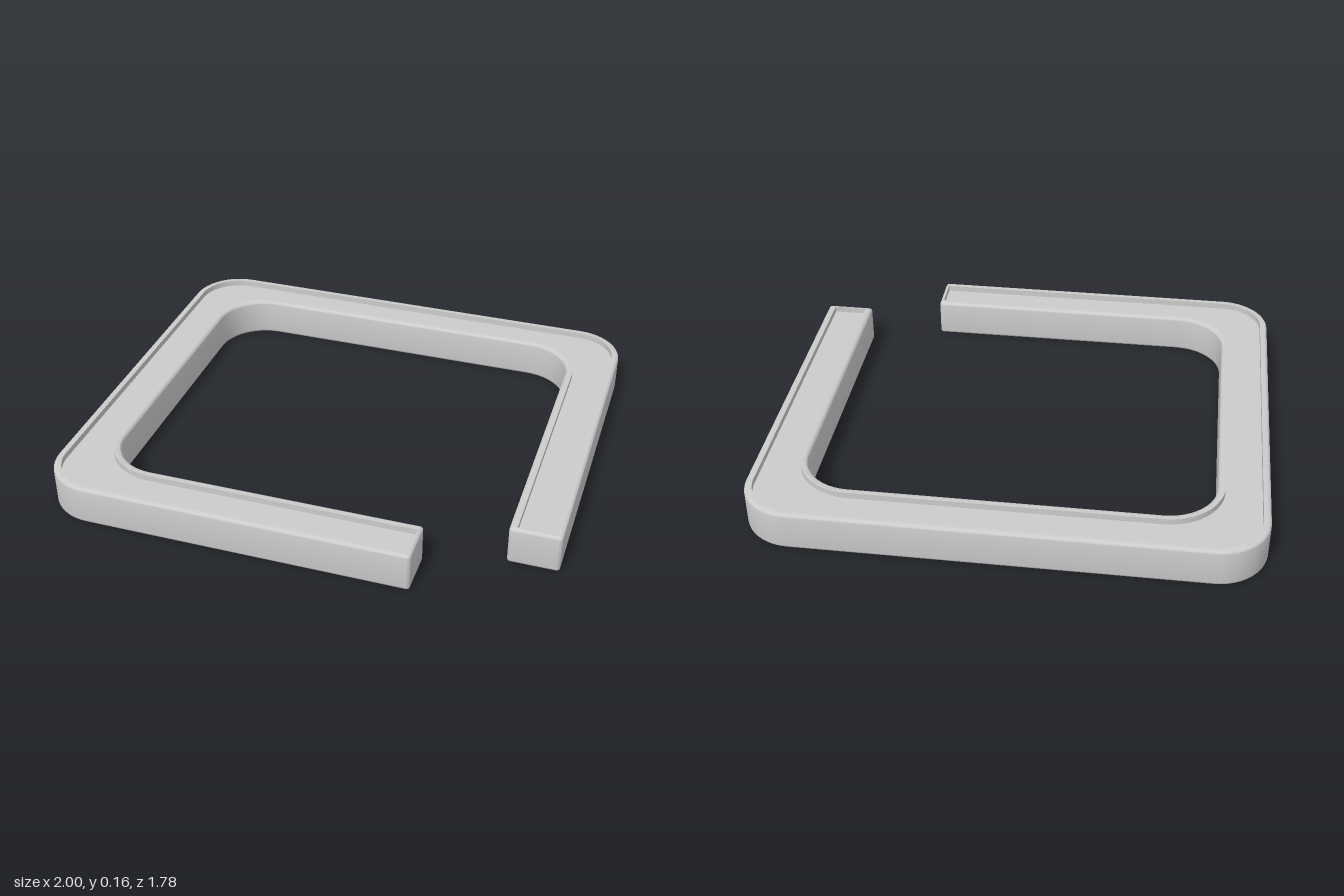
import * as THREE from 'three';
import { toCreasedNormals } from 'three/addons/utils/BufferGeometryUtils.js';

const HEIGHT = 0.16, BEVEL = 0.013, RIM = 0.03, DEPTH = 0.025, STEPS = 12;

// Plan outline of the open frame, shrunk inward by o (the arm ends shrink less beyond the bevel).
function outline(o) {
  const e = Math.min(o, BEVEL) + Math.max(o - BEVEL, 0) * 0.15;
  const tip = Math.max(BEVEL - o, 0.002), outer = 0.2 - o, inner = 0.2 + o;
  const corners = [
    [1 - o, -0.62 + e, tip], [1 - o, 0.89 - o, outer], [-1 + o, 0.89 - o, outer],
    [-1 + o, -0.89 + o, outer], [0.5 - e, -0.89 + o, tip], [0.5 - e, -0.7 - o, tip],
    [-0.8 - o, -0.7 - o, inner], [-0.8 - o, 0.7 + o, inner], [0.8 + o, 0.7 + o, inner],
    [0.8 + o, -0.62 + e, tip],
  ].map(([x, y, r]) => ({ p: new THREE.Vector2(x, y), r }));
  const points = [];
  corners.forEach(({ p, r }, i) => {
    const n = corners.length;
    const din = p.clone().sub(corners[(i + n - 1) % n].p).normalize();
    const dout = corners[(i + 1) % n].p.clone().sub(p).normalize();
    const centre = p.clone().addScaledVector(din, -r).addScaledVector(dout, r);
    for (let k = 0; k <= STEPS; k++) {
      const t = (k / STEPS) * Math.PI / 2;
      points.push(centre.clone().addScaledVector(dout, -r * Math.cos(t)).addScaledVector(din, r * Math.sin(t)));
    }
  });
  return points;
}

function frameGeometry() {
  // Section from the underside, round the outer edges, over the rim and down into the channel
  const profile = [];
  const arc = (y, from) => {
    for (let k = 0; k <= 4; k++) {
      const t = from + (k / 4) * Math.PI / 2;
      profile.push([BEVEL * (1 - Math.cos(t)), y + BEVEL * Math.sin(t)]);
    }
  };
  arc(BEVEL, -Math.PI / 2);
  arc(HEIGHT - BEVEL, 0);
  profile.push([RIM, HEIGHT], [RIM, HEIGHT - DEPTH]);

  const rings = profile.map(([o, y]) => outline(o).map(p => [p.x, y, -p.y]));
  const pos = [];
  const tri = (a, b, c) => pos.push(...a, ...b, ...c);
  for (let r = 0; r < rings.length - 1; r++) {
    const a = rings[r], b = rings[r + 1];
    for (let i = 0; i < a.length; i++) {
      const j = (i + 1) % a.length;
      tri(a[i], a[j], b[j]);
      tri(a[i], b[j], b[i]);
    }
  }
  // Underside and channel floor
  const cap = (ring, o, up) => {
    for (const [a, b, c] of THREE.ShapeUtils.triangulateShape(outline(o), [])) {
      if (up) tri(ring[a], ring[b], ring[c]);
      else tri(ring[a], ring[c], ring[b]);
    }
  };
  cap(rings[0], BEVEL, false);
  cap(rings[rings.length - 1], RIM, true);

  const geometry = new THREE.BufferGeometry();
  geometry.setAttribute('position', new THREE.Float32BufferAttribute(pos, 3));
  return toCreasedNormals(geometry, 0.6);
}

export function createModel() {
  const group = new THREE.Group();
  group.name = 'openFrame';
  const frame = new THREE.Mesh(frameGeometry(), new THREE.MeshStandardMaterial({ color: 0xcccccc }));
  frame.name = 'channelledFrame';
  group.add(frame);
  return group;
}
